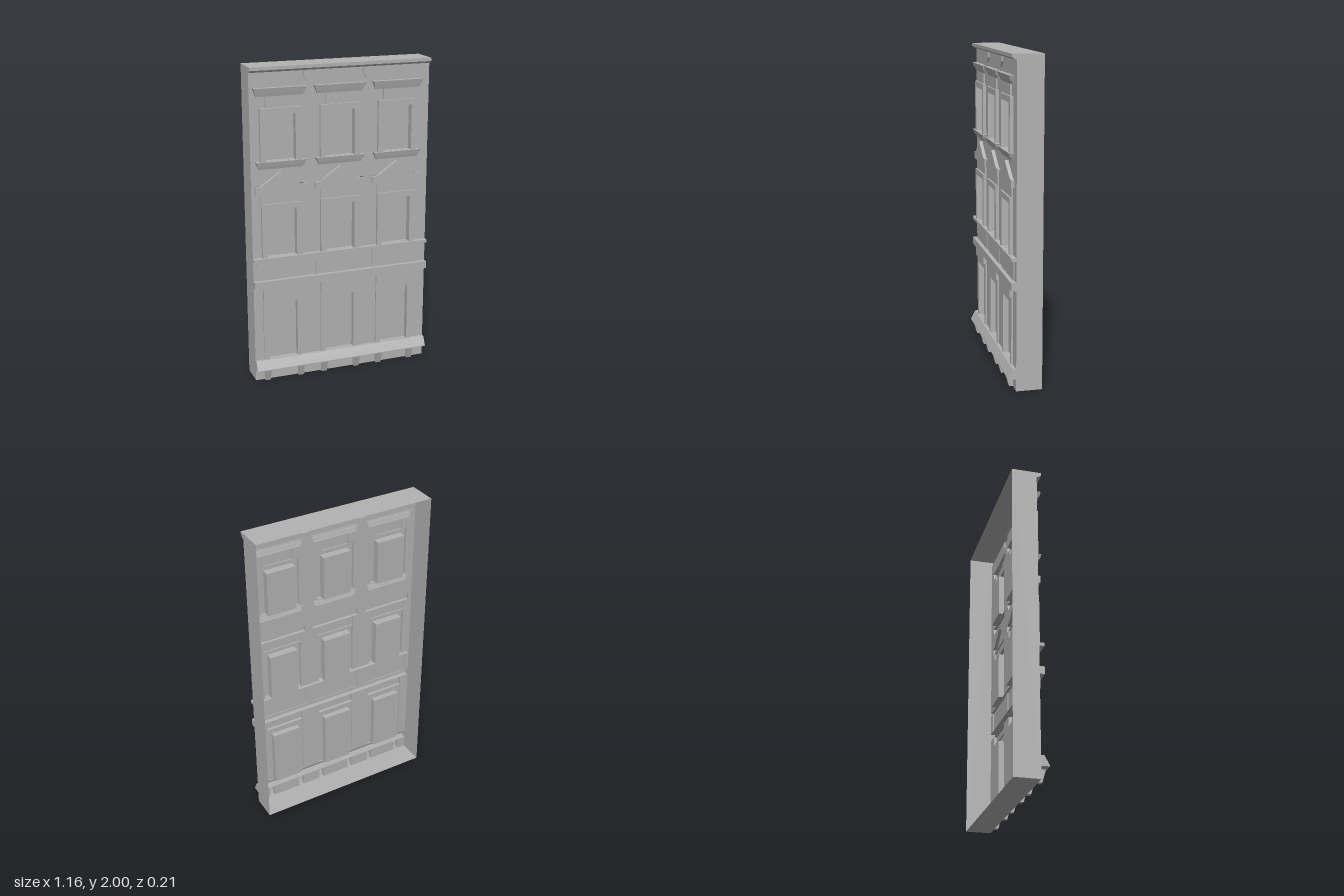
import * as THREE from 'three';

const WALL = 0.056, BACK = -0.104, HALF = 0.58, PANE = 0.03;

// Four-cornered ring, counter-clockwise; bottom and top may differ in half width and depth
const quad = (cx, hwBottom, hwTop, y0, y1, zBottom, zTop = zBottom) => [
  [cx - hwBottom, y0, zBottom], [cx + hwBottom, y0, zBottom],
  [cx + hwTop, y1, zTop], [cx - hwTop, y1, zTop],
];
const rect = (cx, hw, y0, y1, z) => quad(cx, hw, hw, y0, y1, z);

// Joins rings of equal corner count into an open-backed shell with a front cap
function loft(rings, cap = true) {
  const pos = [];
  for (let r = 0; r + 1 < rings.length; r++) {
    const a = rings[r], b = rings[r + 1];
    for (let i = 0; i < a.length; i++) {
      const j = (i + 1) % a.length;
      pos.push(...a[i], ...a[j], ...b[j], ...a[i], ...b[j], ...b[i]);
    }
  }
  if (cap) {
    const last = rings[rings.length - 1];
    const faces = THREE.ShapeUtils.triangulateShape(last.map(p => new THREE.Vector2(p[0], p[1])), []);
    for (const f of faces) for (const i of f) pos.push(...last[i]);
  }
  const g = new THREE.BufferGeometry();
  g.setAttribute('position', new THREE.Float32BufferAttribute(pos, 3));
  g.computeVertexNormals();
  return g;
}

export function createModel() {
  const group = new THREE.Group();
  group.name = 'facade';
  const stone = new THREE.MeshStandardMaterial({ color: 0xb2b2b2, side: THREE.DoubleSide });
  stone.name = 'grey stone';
  const holes = [];

  const add = (name, geometry) => {
    const mesh = new THREE.Mesh(geometry, stone);
    mesh.name = name;
    group.add(mesh);
  };

  // Hollow relief part: its first ring also cuts an opening in the wall
  const relief = (name, rings) => {
    add(name, loft(rings));
    const xs = rings[0].map(p => p[0]), ys = rings[0].map(p => p[1]);
    const cx = (Math.min(...xs) + Math.max(...xs)) / 2, cy = (Math.min(...ys) + Math.max(...ys)) / 2;
    holes.push(new THREE.Path(rings[0].map(([x, y]) =>
      new THREE.Vector2(x - Math.sign(x - cx) * 0.001, y - Math.sign(y - cy) * 0.001))));
  };
  const block = (name, cx, hw, y0, y1, z) =>
    relief(name, [rect(cx, hw, y0, y1, WALL), rect(cx, hw, y0, y1, z)]);

  // Raised surround with a pane set back behind the wall
  const windowFrame = (name, cx, y0, y1, paneTop, z) => relief(name, [
    rect(cx, 0.128, y0, y1, WALL), rect(cx, 0.128, y0, y1, z),
    rect(cx, 0.094, y0, paneTop, z), rect(cx, 0.094, y0, paneTop, PANE),
  ]);

  // Moulding that widens towards its top in two steps
  const moulding = (name, cx, hw0, hw1, y0, ym, y1) => {
    const hwm = (hw0 + hw1) / 2;
    relief(name, [
      quad(cx, hw0, hw1, y0, y1, WALL), quad(cx, hw0, hw1, y0, y1, 0.066, 0.072),
      quad(cx, hwm, hw1, ym, y1, 0.072), quad(cx, hwm, hw1, ym, y1, 0.08, 0.087),
    ]);
  };

  // Open box behind the wall
  add('shellSides', loft([rect(0, HALF, 0, 2, BACK), rect(0, HALF, 0, 2, WALL)], false));

  for (const cx of [-0.394, -0.014, 0.364]) {
    // Upper storey
    moulding('upperHood', cx, 0.146, 0.165, 1.823, 1.845, 1.875);
    block('upperNeck', cx, 0.091, 1.754, 1.823, 0.066);
    windowFrame('upperWindow', cx, 1.43, 1.754, 1.717, 0.077);
    moulding('upperSill', cx, 0.139, 0.157, 1.383, 1.402, 1.43);

    // Middle storey
    const outline = [[-0.163, 1.229], [0.163, 1.229], [0.163, 1.275], [0.125, 1.28],
      [0, 1.367], [-0.125, 1.28], [-0.163, 1.275]];
    relief('pediment', [WALL, 0.077].map(z => outline.map(([x, y]) => [cx + x, y, z])));
    block('middleHeader', cx, 0.128, 1.165, 1.229, 0.066);
    windowFrame('middleWindow', cx, 0.822, 1.165, 1.128, 0.077);
    block('friezePanel', cx, 0.16, 0.673, 0.802, 0.062);

    // Ground storey
    block('groundHeader', cx, 0.128, 0.56, 0.625, 0.077);
    windowFrame('groundWindow', cx, 0.138, 0.56, 0.518, 0.066);

    // Feet under the jambs, leaning forward towards the top
    for (const s of [-1, 1]) {
      const x = cx + s * 0.111;
      relief('plinthFoot', [rect(x, 0.017, 0, 0.076, WALL), quad(x, 0.017, 0.017, 0, 0.076, 0.078, 0.1)]);
    }
  }

  // Full-width bands
  relief('topCornice', [
    rect(0, HALF, 1.967, 2, WALL), rect(0, HALF, 1.967, 2, 0.068),
    rect(0, HALF, 1.98, 2, 0.078), rect(0, HALF, 1.98, 2, 0.085),
  ]);
  block('upperBand', 0, HALF, 0.802, 0.822, 0.087);
  block('lowerBand', 0, HALF, 0.625, 0.673, 0.087);
  relief('slopedPlinth', [
    rect(0, HALF, 0.076, 0.138, WALL), rect(0, HALF, 0.076, 0.138, 0.076),
    rect(0, HALF, 0.076, 0.082, 0.105),
  ]);

  // Small drops hanging below the cornice
  const drop = [[-0.02, 1.9], [0.02, 1.9], [0.045, 1.932], [0.045, 1.967], [-0.045, 1.967], [-0.045, 1.932]];
  for (const cx of [-0.2, 0.182])
    relief('corniceDrop', [WALL, 0.067].map(z => drop.map(([x, y]) => [cx + x, y, z])));

  // Wall with openings behind every relief part
  const wall = new THREE.Shape([[-HALF, 0], [HALF, 0], [HALF, 2], [-HALF, 2]].map(p => new THREE.Vector2(...p)));
  wall.holes = holes;
  add('wall', new THREE.ShapeGeometry(wall).translate(0, 0, WALL));
  return group;
}
